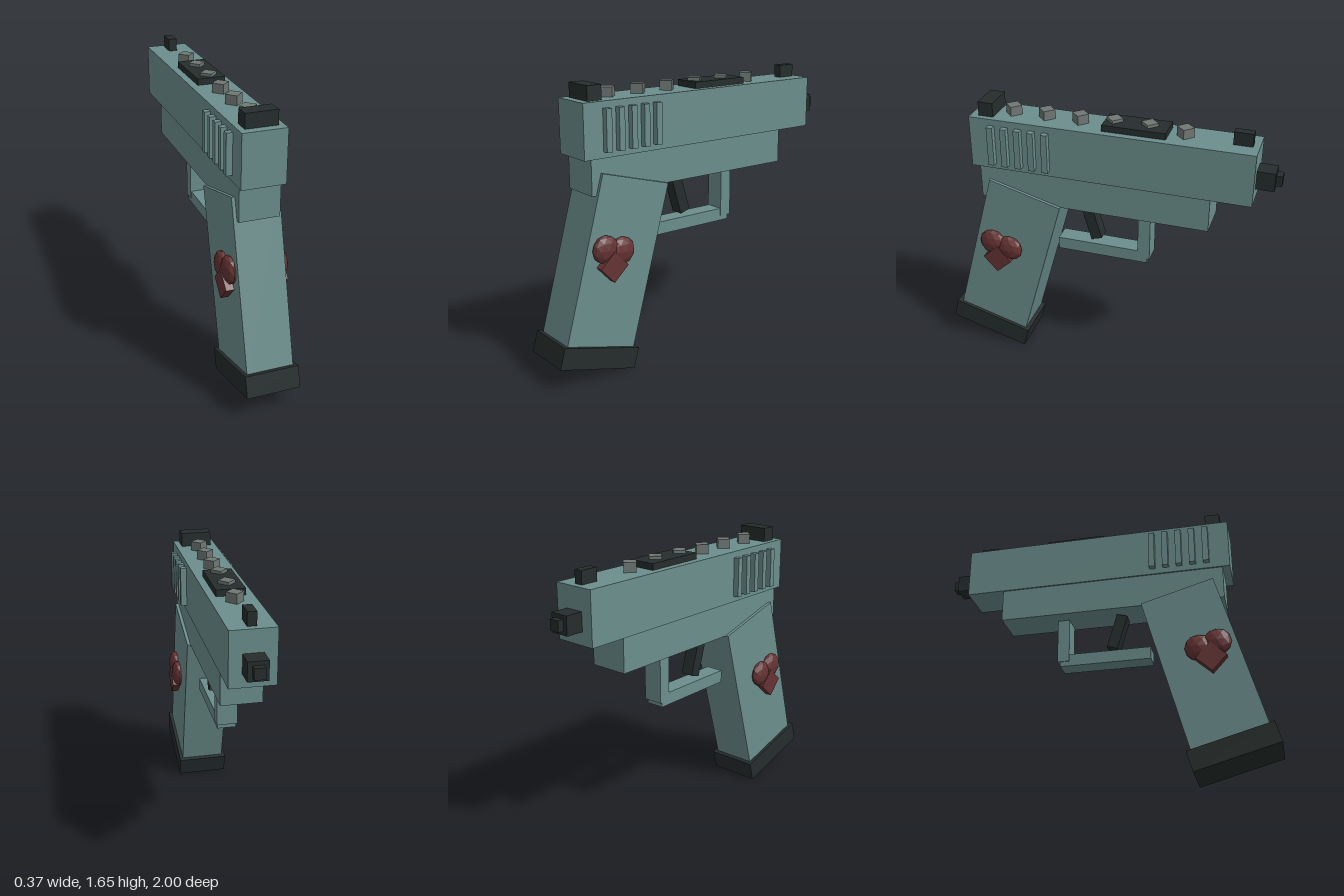
import * as THREE from 'three';

const mat = (color) => new THREE.MeshStandardMaterial({ color, flatShading: true });

export function createModel() {
  const model = new THREE.Group();
  const body = mat(0x6b8e8c), dark = mat(0x252d2c), red = mat(0x663333), stud = mat(0x6f7874);

  // Box given by full width and its z and y ranges
  function block(name, material, width, [z0, z1], [y0, y1], x = 0) {
    const mesh = new THREE.Mesh(new THREE.BoxGeometry(width, y1 - y0, z1 - z0), material);
    mesh.position.set(x, (y0 + y1) / 2, (z0 + z1) / 2);
    mesh.name = name;
    model.add(mesh);
    return mesh;
  }

  // Box given by size and centre, leaning about the x axis
  function leaning(name, material, [w, h, d], [x, y, z], tilt) {
    const mesh = new THREE.Mesh(new THREE.BoxGeometry(w, h, d), material);
    mesh.position.set(x, y, z);
    mesh.rotation.x = tilt;
    mesh.name = name;
    model.add(mesh);
    return mesh;
  }

  // Upper and lower body
  block('slide', body, 0.25, [-0.862, 0.785], [1.27, 1.577]);
  block('frame', body, 0.232, [-0.632, 0.74], [1.068, 1.27]);

  // Barrel end
  block('barrel', dark, 0.11, [-0.965, -0.86], [1.345, 1.452]);
  block('barrelTip', dark, 0.06, [-1, -0.96], [1.368, 1.43]);

  // Sights and the panel on top
  block('rearSight', dark, 0.182, [0.648, 0.737], [1.57, 1.66]);
  block('frontSight', dark, 0.05, [-0.825, -0.718], [1.57, 1.652]);
  block('topPanel', dark, 0.164, [-0.36, 0.005], [1.57, 1.614]);

  // Row of diamond studs along the top
  for (let i = 0; i < 6; i++) {
    const z = 0.553 - i * 0.201;
    block('topStud', stud, 0.07, [z - 0.035, z + 0.035], [1.57, 1.632]).rotation.y = Math.PI / 4;
  }

  // Grip with its base plate
  leaning('grip', body, [0.27, 1.0, 0.452], [0, 0.648, 0.596], -0.27);
  leaning('gripBase', dark, [0.31, 0.125, 0.505], [0, 0.135, 0.74], -0.27);

  // Trigger and guard
  leaning('trigger', dark, [0.08, 0.22, 0.067], [0, 0.952, 0.08], 0.29);
  block('guardBar', body, 0.11, [-0.268, 0.285], [0.745, 0.82]);
  block('guardPost', body, 0.12, [-0.285, -0.212], [0.775, 1.05]);

  for (const side of [-1, 1]) {
    // Raised grip ribs on the slide
    for (let i = 0; i < 5; i++) {
      const z = 0.647 - i * 0.082;
      block('slideRib', body, 0.05, [z - 0.018, z + 0.018], [1.305, 1.54], side * 0.135);
    }

    // Heart: two faceted lobes over a diamond point
    const heart = new THREE.Group();
    heart.name = side > 0 ? 'leftHeart' : 'rightHeart';
    for (const [y, z] of [[0.767, 0.685], [0.74, 0.577]]) {
      const lobe = new THREE.Mesh(new THREE.IcosahedronGeometry(0.082, 1), red);
      lobe.name = 'heartLobe';
      lobe.scale.x = 0.48;
      lobe.position.set(side * 0.145, y, z);
      heart.add(lobe);
    }
    heart.add(leaning('heartPoint', red, [0.07, 0.127, 0.127], [side * 0.146, 0.666, 0.648], Math.PI / 4 - 0.04));
    model.add(heart);
  }

  return model;
}
